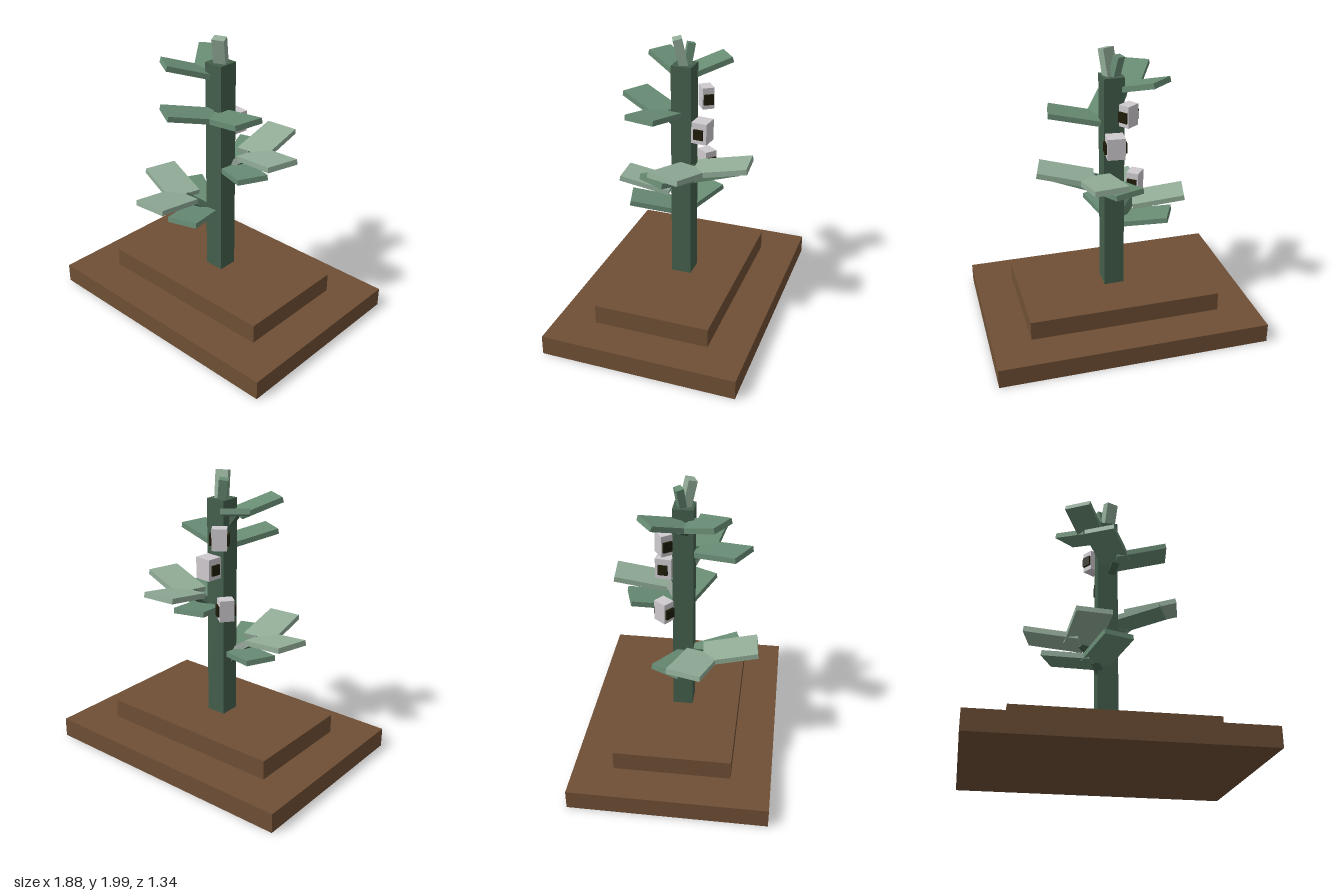
import * as THREE from 'three';

const mat = (name, color) => {
  const m = new THREE.MeshStandardMaterial({ color, flatShading: true });
  m.name = name;
  return m;
};

export function createModel() {
  const soil = mat('soil brown', 0x6f4f35);
  const bark = mat('stem green', 0x445f4c);
  const green = mat('leaf green', 0x688c74);
  const pale = mat('pale leaf green', 0x92ad98);
  const white = mat('pod grey', 0xcfcbcf);
  const black = mat('dark olive', 0x1f1c08);

  const model = new THREE.Group();
  model.name = 'blockyPlant';

  const box = (name, w, h, d, material, x = 0, y = 0, z = 0, parent = model) => {
    const mesh = new THREE.Mesh(new THREE.BoxGeometry(w, h, d), material);
    mesh.name = name;
    mesh.position.set(x, y, z);
    parent.add(mesh);
    return mesh;
  };

  // Square bar running between two points
  const bar = (name, from, to, w, d, material, twist = 0) => {
    const a = new THREE.Vector3(...from), b = new THREE.Vector3(...to);
    const dir = b.clone().sub(a);
    const mesh = box(name, w, dir.length(), d, material);
    mesh.position.copy(a).add(b).multiplyScalar(0.5);
    mesh.quaternion.setFromUnitVectors(new THREE.Vector3(0, 1, 0), dir.normalize());
    mesh.rotateY(twist);
    return mesh;
  };

  // Stepped base and stem
  box('lowerBase', 1.875, 0.135, 1.34, soil, 0, 0.0675, 0);
  box('upperBase', 1.34, 0.135, 0.8, soil, 0, 0.2025, 0);
  box('stem', 0.14, 1.54, 0.14, bark, 0, 1.04, 0);

  // Leaf pairs: joint position, two headings (degrees from +x towards +z), slab size, upward tilt
  const T = 0.037;
  const pairs = [
    { at: [0.16, 1.17, -0.13], yaw: [-95, 15], len: 0.37, wid: 0.23, tilt: 11, m: pale },
    { at: [0.075, 1.075, -0.05], yaw: [-107, 26], len: 0.34, wid: 0.21, tilt: 11, m: green },
    { at: [-0.195, 0.825, 0.155], yaw: [85, 195], len: 0.37, wid: 0.235, tilt: 11, m: pale },
    { at: [-0.09, 0.735, 0.07], yaw: [72, 206], len: 0.345, wid: 0.21, tilt: 11, m: green },
    { at: [0.053, 1.495, 0.1], yaw: [10.7, 119.4], len: 0.35, wid: 0.21, tilt: 11, m: green },
    { at: [-0.1, 1.735, 0.02], yaw: [120.7, 233], len: 0.3, wid: 0.185, tilt: 17, m: green },
  ];
  for (const { at, yaw, len, wid, tilt, m } of pairs) {
    for (const a of yaw) {
      const leaf = new THREE.Group();
      leaf.name = 'leaf';
      leaf.position.set(...at);
      leaf.rotation.set(0, -THREE.MathUtils.degToRad(a), THREE.MathUtils.degToRad(tilt));
      box('leafBlade', len, T, wid, m, len / 2, -T / 2, 0, leaf);
      model.add(leaf);
    }
    // Short stalk from the stem up to the joint
    const [x, y, z] = at;
    bar('leafStalk', [x * 0.35, y - 0.11, z * 0.35], [x, y - 0.02, z], 0.05, 0.05, bark);
  }

  // Pods on the back of the stem, each with a dark core showing on two sides
  const pods = [
    { at: [-0.08, 1.575, -0.125], yaw: -35, depth: 0.1, wid: 0.08 },
    { at: [0.01, 1.362, -0.13], yaw: 6, depth: 0.12, wid: 0.11 },
    { at: [-0.13, 1.095, -0.12], yaw: -52, depth: 0.1, wid: 0.085 },
  ];
  for (const { at, yaw, depth, wid } of pods) {
    const pod = new THREE.Group();
    pod.name = 'pod';
    pod.position.set(...at);
    pod.rotation.y = -THREE.MathUtils.degToRad(yaw);
    box('podShell', depth, 0.147, wid, white, 0, 0, 0, pod);
    box('podCore', depth + 0.03, 0.07, 0.066, black, 0, -0.005, 0, pod);
    model.add(pod);
  }

  // Sprouts at the tip of the stem
  bar('paleSprout', [0.005, 1.78, 0.0], [0.027, 1.985, 0.042], 0.085, 0.06, pale, 0.4);
  bar('greenSprout', [-0.01, 1.78, -0.01], [-0.042, 1.945, -0.032], 0.06, 0.05, green, 0.5);

  return model;
}
